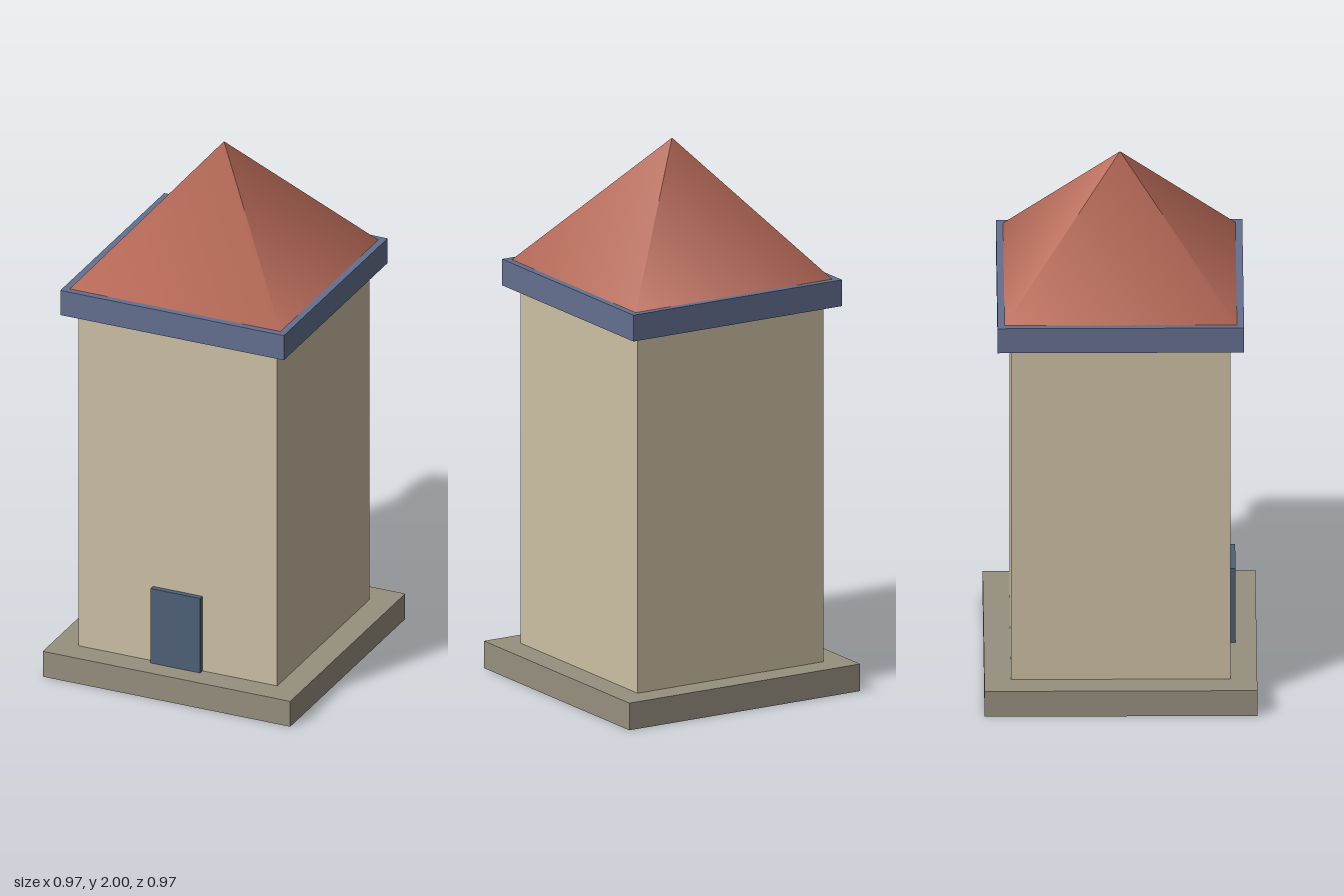
import * as THREE from 'three';

const material = (name, color) => {
  const m = new THREE.MeshStandardMaterial({ color });
  m.name = name;
  return m;
};

export function createModel() {
  const tower = new THREE.Group();
  tower.name = 'tower';

  const stone = material('stone', 0x979080);
  const plaster = material('plaster', 0xcdc0a4);
  const slateBlue = material('slate blue', 0x647090);
  const doorBlue = material('door blue', 0x4f6077);
  const tile = material('roof tile', 0xb66957);

  const add = (name, geometry, mat, y, z = 0) => {
    const mesh = new THREE.Mesh(geometry, mat);
    mesh.name = name;
    mesh.position.set(0, y, z);
    tower.add(mesh);
  };

  // Box standing on y0 and reaching up to y1
  const block = (name, width, depth, y0, y1, mat, z) =>
    add(name, new THREE.BoxGeometry(width, y1 - y0, depth), mat, (y0 + y1) / 2, z);

  // Stacked square blocks
  block('plinth', 0.97, 0.97, 0, 0.1, stone);
  block('walls', 0.78, 0.78, 0.1, 1.417, plaster);
  block('cornice', 0.876, 0.876, 1.417, 1.514, slateBlue);

  // Door plate on the front wall
  block('door', 0.195, 0.03, 0.1, 0.394, doorBlue, 0.395);

  // Four-sided roof with softly shaded faces
  const roofHalf = 0.413, roofHeight = 0.486;
  const roof = new THREE.ConeGeometry(roofHalf * Math.SQRT2, roofHeight, 4);
  roof.rotateY(Math.PI / 4);
  add('roof', roof, tile, 1.514 + roofHeight / 2);

  return tower;
}
